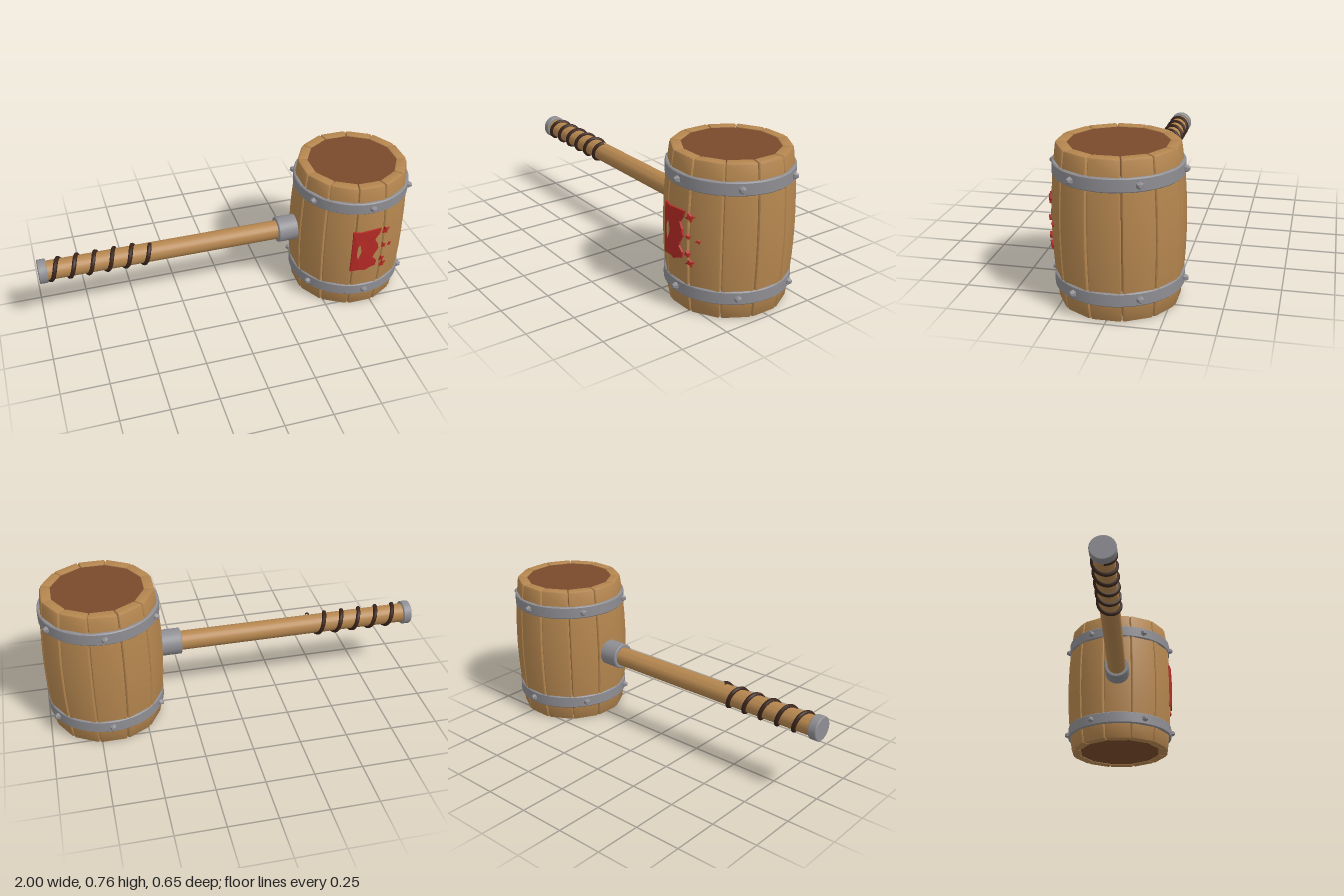
import * as THREE from 'three';
import { toCreasedNormals } from 'three/addons/utils/BufferGeometryUtils.js';

const H = 0.765, MID = H / 2, R = 0.305, CX = 0.69, STAVES = 12;
const mat = (color) => new THREE.MeshStandardMaterial({ color });
const wood = mat(0xb5864f), headWood = mat(0x7a4a2c), metal = mat(0x8e8e93);
const leather = mat(0x3a241a), paint = mat(0xb52a25);

// Barrel bulge: 1 at mid height, narrower at both ends
const bulge = (y) => 1 - 0.088 * ((y - MID) / MID) ** 2;

function add(parent, name, geometry, material) {
  const mesh = new THREE.Mesh(geometry, material);
  mesh.name = name;
  parent.add(mesh);
  return mesh;
}

function mapVertices(geometry, rule) {
  const p = geometry.attributes.position, v = new THREE.Vector3();
  for (let i = 0; i < p.count; i++) {
    rule(v.fromBufferAttribute(p, i));
    p.setXYZ(i, v.x, v.y, v.z);
  }
  return geometry;
}

const polygon = (pts) => new THREE.Shape(pts.map(([x, y]) => new THREE.Vector2(x, y)));

// One stave facing +z: wedge section with softened edges, swept up the bulge
function staveGeometry() {
  const t = Math.tan(Math.PI / STAVES), inner = 0.247, c = 0.009, gap = 0.0015;
  const wo = R * t - gap, wi = inner * t - gap;
  const section = polygon([
    [-wi, -inner], [-wo + 0.003, -R + c], [-wo + 0.006, -R + 0.003], [-wo + c + 0.004, -R],
    [wo - c - 0.004, -R], [wo - 0.006, -R + 0.003], [wo - 0.003, -R + c], [wi, -inner],
  ]);
  const b = 0.009;
  const g = new THREE.ExtrudeGeometry(section, {
    depth: H - 2 * b, steps: 10, bevelEnabled: true, bevelThickness: b,
    bevelSize: b, bevelOffset: -b, bevelSegments: 2,
  });
  g.rotateX(-Math.PI / 2).translate(0, b, 0);
  // the bevel offset shrinks the whole section only at the ends
  mapVertices(g, (v) => {
    const f = bulge(v.y);
    v.x *= f;
    v.z *= f;
  });
  return toCreasedNormals(g, 0.55);
}

// Cylinder lying along x between two positions on the handle axis
function rod(parent, name, x0, x1, r, material, chamfer = 0.004) {
  const L = x1 - x0;
  const pts = [[0, 0], [r - chamfer, 0], [r, chamfer], [r, L - chamfer], [r - chamfer, L], [0, L]];
  const g = new THREE.LatheGeometry(pts.map(([a, b]) => new THREE.Vector2(a, b)), 28);
  const m = add(parent, name, toCreasedNormals(g, 0.6), material);
  m.rotation.z = -Math.PI / 2;
  m.position.set(x0, 0.385, 0);
}

// Hoop with six hexagonal rivets
function hoop(y) {
  const group = new THREE.Group();
  group.name = 'hoop';
  group.position.y = y;
  const h = 0.033, c = 0.005, ri = 0.275;
  const pts = [[ri, -h], [R - c, -h], [R, -h + c], [R, h - c], [R - c, h], [ri, h], [ri, -h]];
  const g = new THREE.LatheGeometry(pts.map(([a, b]) => new THREE.Vector2(a, b)), 48);
  add(group, 'hoopBand', toCreasedNormals(g, 0.6), metal);
  const rivet = new THREE.LatheGeometry(
    [[0.018, -0.01], [0.018, 0.007], [0.009, 0.021], [0, 0.021]].map(([a, b]) => new THREE.Vector2(a, b)), 6);
  const rivetGeo = toCreasedNormals(rivet, 0.3).rotateX(Math.PI / 2);
  for (let i = 0; i < 6; i++) {
    const a = (i * Math.PI) / 3;
    const m = add(group, 'rivet', rivetGeo, metal);
    m.position.set(Math.sin(a) * R, 0, Math.cos(a) * R);
    m.rotation.y = a;
  }
  return group;
}

// Paint mark wrapped over the front staves, with stray flecks beside it
function paintMark() {
  const main = polygon([
    [0.598, 0.515], [0.64, 0.508], [0.69, 0.512], [0.75, 0.517], [0.742, 0.49], [0.718, 0.455],
    [0.735, 0.425], [0.742, 0.395], [0.72, 0.355], [0.715, 0.335], [0.74, 0.31], [0.735, 0.28],
    [0.705, 0.27], [0.68, 0.256], [0.65, 0.264], [0.598, 0.258],
  ]);
  main.holes.push(polygon([[0.625, 0.42], [0.637, 0.435], [0.648, 0.385], [0.632, 0.34], [0.622, 0.37]]));
  const flecks = [[0.78, 0.495, 0.024], [0.775, 0.4, 0.014], [0.82, 0.385, 0.012],
    [0.772, 0.312, 0.018], [0.785, 0.27, 0.022]].map(([x, y, s]) => polygon([
    [x - s, y - s * 0.3], [x - s * 0.1, y - s * 0.4], [x + s * 0.3, y - s * 0.9], [x + s * 0.35, y - s * 0.2],
    [x + s, y + s * 0.2], [x + s * 0.2, y + s * 0.3], [x - s * 0.3, y + s * 0.9], [x - s * 0.4, y + s * 0.2],
  ]));
  const g = new THREE.ExtrudeGeometry([main, ...flecks], { depth: 0.022, bevelEnabled: false });
  mapVertices(g, (v) => {
    v.x -= CX;
    v.z += R * bulge(v.y) - 0.012 - Math.max(0, Math.abs(v.x) - 0.08) * 0.577;
  });
  g.computeVertexNormals();
  return g;
}

export function createModel() {
  const model = new THREE.Group();
  model.name = 'barrelMallet';

  // Barrel head
  const head = new THREE.Group();
  head.name = 'barrelHead';
  head.position.x = CX;
  model.add(head);
  const stave = staveGeometry();
  for (let i = 0; i < STAVES; i++) {
    add(head, 'stave', stave, wood).rotation.y = (i * 2 * Math.PI) / STAVES;
  }
  const core = add(head, 'barrelEnds', new THREE.CylinderGeometry(0.236, 0.236, H - 0.012, 48), headWood);
  core.position.y = MID;
  head.add(hoop(0.116), hoop(0.652));
  add(head, 'paintMark', paintMark(), paint);

  // Handle with end cap and collar
  rod(model, 'handle', -0.98, 0.5, 0.051, wood);
  rod(model, 'endCap', -1, -0.955, 0.063, metal);
  rod(model, 'collar', 0.28, 0.42, 0.069, metal);

  // Leather grip wound around the handle, bottom to front to top
  const pts = [];
  const turns = 5.5, n = 88;
  for (let i = 0; i <= n; i++) {
    const a = (i / n) * turns * 2 * Math.PI;
    pts.push(new THREE.Vector3(-0.95 + (i / n) * 0.535, 0.385 - Math.cos(a) * 0.053, Math.sin(a) * 0.053));
  }
  add(model, 'gripWrap', new THREE.TubeGeometry(new THREE.CatmullRomCurve3(pts), 220, 0.0115, 8), leather);
  return model;
}
